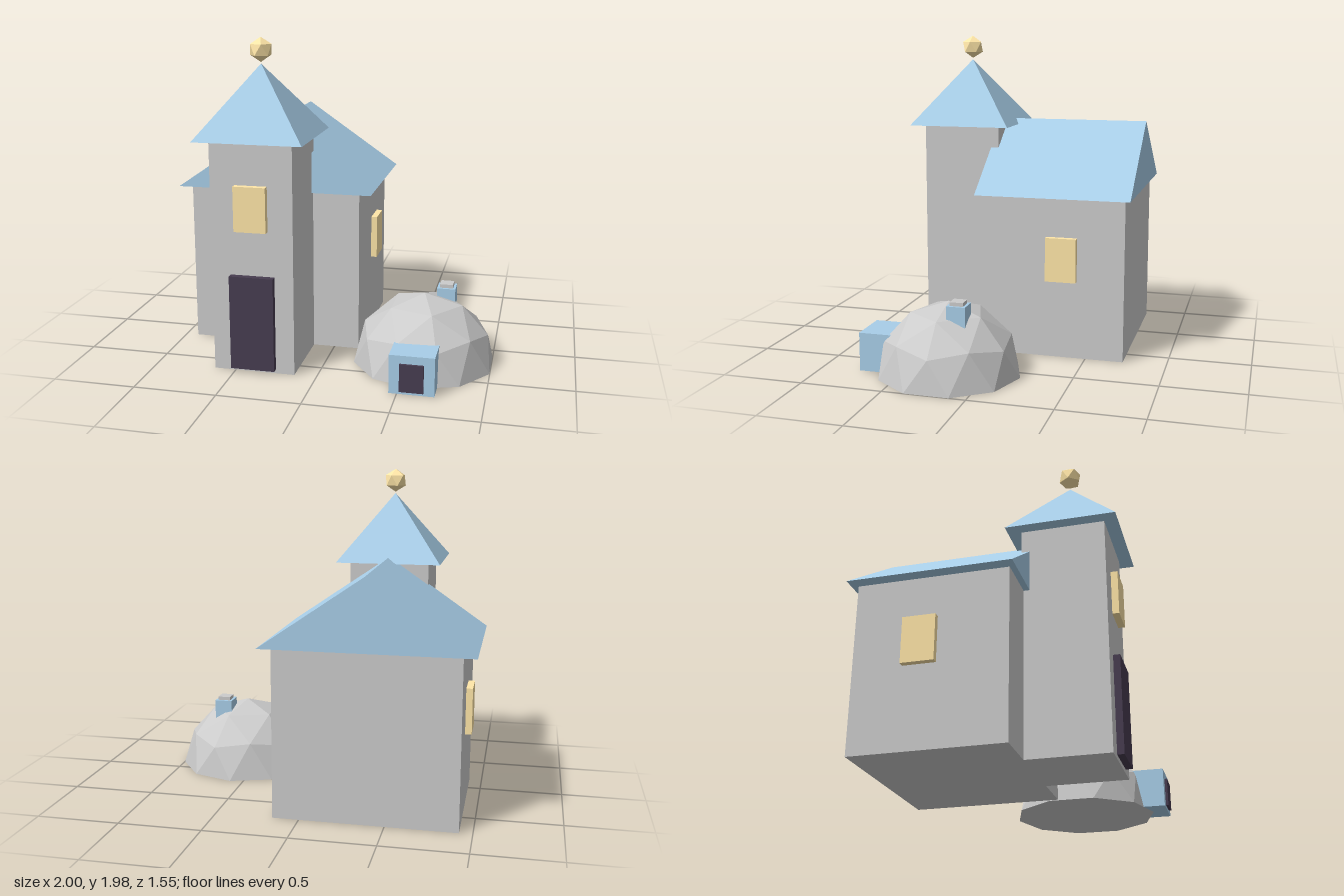
import * as THREE from 'three';

const material = (color) => new THREE.MeshStandardMaterial({ color, flatShading: true });
const stone = material(0xcccccc);
const blue = material(0xa8cee8);
const gold = material(0xffe6a8);
const dark = material(0x473c50);

function add(parent, name, geometry, mat) {
  const mesh = new THREE.Mesh(geometry, mat);
  mesh.name = name;
  parent.add(mesh);
  return mesh;
}

// Box given by its limits on each axis
function addBox(parent, name, mat, [x0, x1], [y0, y1], [z0, z1]) {
  const geometry = new THREE.BoxGeometry(x1 - x0, y1 - y0, z1 - z0);
  geometry.translate((x0 + x1) / 2, (y0 + y1) / 2, (z0 + z1) / 2);
  return add(parent, name, geometry, mat);
}

// Icosphere with one corner pointing straight up
function icosphere(radius, detail) {
  return new THREE.IcosahedronGeometry(radius, detail)
    .rotateX(-Math.atan((1 + Math.sqrt(5)) / 2))
    .rotateY(Math.PI / 2);
}

// Upper half of an icosphere, keeping only triangles above the equator
function domeGeometry(radius) {
  const p = icosphere(radius, 1).getAttribute('position');
  const kept = [];
  for (let i = 0; i < p.count; i += 3) {
    if (p.getY(i) + p.getY(i + 1) + p.getY(i + 2) < 0.01) continue;
    for (let j = i; j < i + 3; j++) kept.push(p.getX(j), p.getY(j), p.getZ(j));
  }
  const geometry = new THREE.BufferGeometry();
  geometry.setAttribute('position', new THREE.Float32BufferAttribute(kept, 3));
  geometry.computeVertexNormals();
  return geometry;
}

function createChurch() {
  const church = new THREE.Group();
  church.name = 'church';
  church.position.x = -0.383;

  // Nave with gabled roof
  addBox(church, 'nave', stone, [-0.54, 0.54], [0, 1.01], [-0.735, 0.155]);
  const gable = new THREE.Shape([
    new THREE.Vector2(-0.617, 1.01),
    new THREE.Vector2(0.617, 1.01),
    new THREE.Vector2(0, 1.435),
  ]);
  const roof = new THREE.ExtrudeGeometry(gable, { depth: 0.965, bevelEnabled: false });
  add(church, 'naveRoof', roof.translate(0, 0, -0.775), blue);
  for (const side of [-1, 1]) {
    const x = side * 0.555;
    addBox(church, side > 0 ? 'leftWindow' : 'rightWindow', gold,
      [x - 0.023, x + 0.023], [0.487, 0.76], [-0.442, -0.25]);
  }

  // Tower with pyramid roof and finial
  addBox(church, 'tower', stone, [-0.248, 0.248], [0, 1.4], [0.14, 0.636]);
  const spire = new THREE.ConeGeometry(0.327 * Math.SQRT2, 0.42, 4);
  add(church, 'towerRoof', spire.rotateY(Math.PI / 4).translate(0, 1.61, 0.388), blue);
  add(church, 'finial', icosphere(0.073, 0).translate(0, 1.902, 0.388), gold);
  addBox(church, 'towerWindow', gold, [-0.097, 0.097], [0.875, 1.145], [0.6, 0.676]);
  addBox(church, 'towerDoor', dark, [-0.134, 0.134], [0.025, 0.602], [0.6, 0.676]);
  return church;
}

function createHut() {
  const hut = new THREE.Group();
  hut.name = 'domeHut';
  hut.position.set(0.585, 0, 0.235);

  // Faceted dome and its flat base
  add(hut, 'dome', domeGeometry(0.435), stone);
  const base = new THREE.CircleGeometry(0.435, 10, Math.PI / 10);
  add(hut, 'domeBase', base.rotateX(Math.PI / 2), stone);

  // Entrance
  addBox(hut, 'porch', blue, [-0.132, 0.132], [0.001, 0.235], [0.26, 0.522]);
  addBox(hut, 'porchDoor', dark, [-0.07, 0.07], [0.02, 0.187], [0.48, 0.537]);

  // Chimney
  addBox(hut, 'chimney', blue, [0.067, 0.179], [0.3, 0.453], [-0.157, -0.043]);
  addBox(hut, 'chimneyCap', stone, [0.083, 0.163], [0.42, 0.475], [-0.14, -0.06]);
  return hut;
}

export function createModel() {
  const model = new THREE.Group();
  model.name = 'churchAndHut';
  model.add(createChurch(), createHut());
  return model;
}
